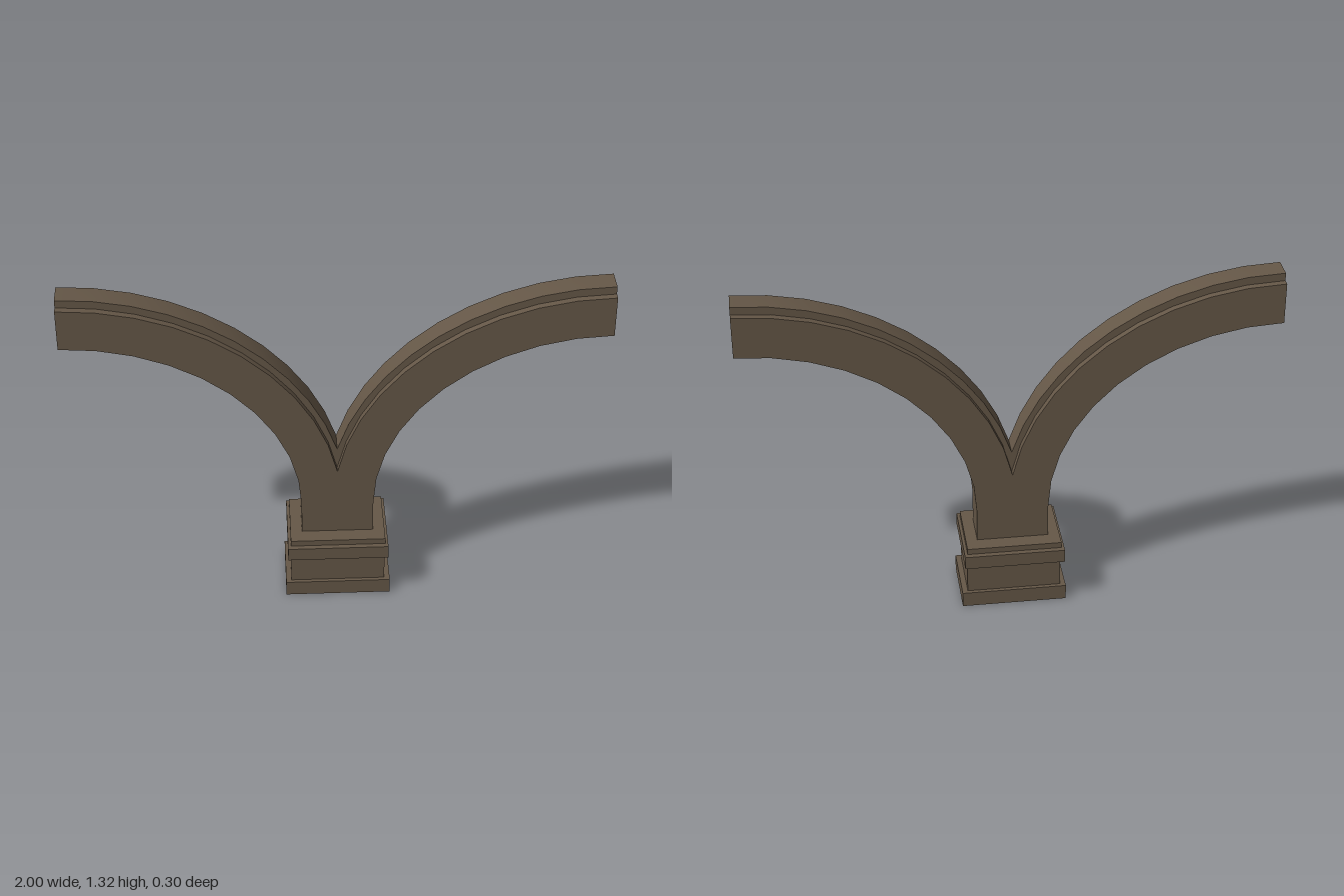
import * as THREE from 'three';
import { toCreasedNormals } from 'three/addons/utils/BufferGeometryUtils.js';

const SEGMENTS = 10;
const SPRING_Y = 0.395; // height where the arches start to curve

// Right-hand arch curve from x = 1 down to x = xEnd: part of an ellipse centred on (1, SPRING_Y)
function archCurve(rx, ry, xEnd) {
  const end = Math.asin(Math.min(1, (1 - xEnd) / rx));
  const points = [];
  for (let i = 0; i <= SEGMENTS; i++) {
    const a = (end * i) / SEGMENTS;
    points.push(new THREE.Vector2(1 - rx * Math.sin(a), SPRING_Y + ry * Math.cos(a)));
  }
  return points;
}

const mirrored = (points) => points.map((p) => new THREE.Vector2(-p.x, p.y));
const reversed = (points) => points.slice().reverse();

// Full curve from x = 1 through the valley at x = 0 to x = -1
function valleyCurve(rx, ry) {
  const half = archCurve(rx, ry, 0);
  return [...half, ...reversed(mirrored(half)).slice(1)];
}

function extruded(points, depth) {
  const geometry = new THREE.ExtrudeGeometry(new THREE.Shape(points), { depth, bevelEnabled: false });
  geometry.translate(0, 0, -depth / 2);
  return toCreasedNormals(geometry, 0.5);
}

export function createModel() {
  const group = new THREE.Group();
  const stone = new THREE.MeshStandardMaterial({ color: 0x655747 });
  stone.name = 'brown stone';

  const add = (name, geometry, y = 0) => {
    const mesh = new THREE.Mesh(geometry, stone);
    mesh.name = name;
    mesh.position.y = y;
    group.add(mesh);
  };

  // Stepped pedestal: name, width, depth, bottom, top
  const steps = [
    ['plinth', 0.4, 0.256, 0, 0.06],
    ['pedestalBlock', 0.358, 0.226, 0.06, 0.19],
    ['pedestalCap', 0.382, 0.304, 0.19, 0.243],
    ['capStep', 0.36, 0.264, 0.243, 0.266],
  ];
  for (const [name, width, depth, bottom, top] of steps) {
    add(name, new THREE.BoxGeometry(width, top - bottom, depth), (bottom + top) / 2);
  }

  // Column splitting into two half arches, outlined counter-clockwise
  const shoulder = valleyCurve(1.015, 0.89);
  const soffit = archCurve(0.864, 0.73, 0.136);
  const foot = [new THREE.Vector2(-0.136, 0.26), new THREE.Vector2(0.136, 0.26)];
  add('archBody', extruded([...shoulder, ...mirrored(soffit), ...foot, ...reversed(soffit)], 0.144));

  // Narrow rib running along the top of the arches
  const crown = valleyCurve(1.035, 0.92);
  add('topRib', extruded([...crown, ...reversed(shoulder)], 0.09));

  return group;
}
